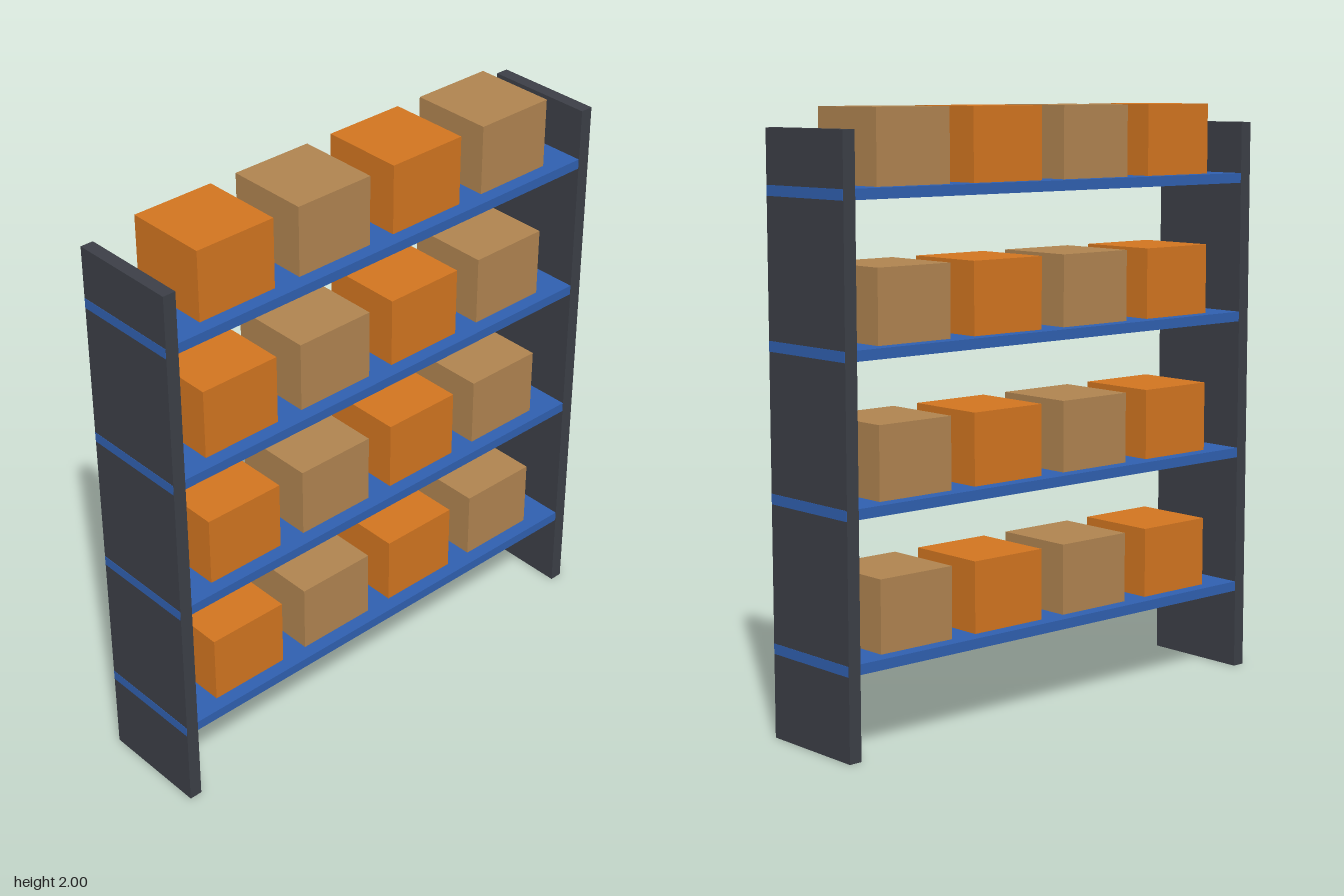
import * as THREE from 'three';

const paint = (color) => new THREE.MeshStandardMaterial({ color });

function addBox(parent, name, size, position, material) {
  const mesh = new THREE.Mesh(new THREE.BoxGeometry(...size), material);
  mesh.name = name;
  mesh.position.set(...position);
  parent.add(mesh);
}

export function createModel() {
  const rack = new THREE.Group();
  rack.name = 'storageRack';

  const steel = paint(0x3c3f47);
  const blue = paint(0x3060b0);
  const orange = paint(0xd27520);
  const tan = paint(0xb08450);

  const width = 1.784, height = 1.94, depth = 0.388;
  const panel = 0.045;
  const shelfThickness = 0.034, levelStep = 0.4847, firstLevel = 0.293;
  const crate = [0.29, 0.24, 0.29], crateStep = 0.388;

  // End panels
  for (const [side, name] of [[1, 'leftEndPanel'], [-1, 'rightEndPanel']]) {
    addBox(rack, name, [panel, height, depth],
      [side * (width - panel) / 2, height / 2, 0], steel);
  }

  // Shelves pass through the end panels, a hair proud of their outer faces
  for (let level = 0; level < 4; level++) {
    const y = firstLevel + level * levelStep;
    const bay = new THREE.Group();
    bay.name = `level${level + 1}`;
    bay.position.y = y;
    rack.add(bay);
    addBox(bay, 'shelf', [width + 0.002, shelfThickness, depth - 0.002], [0, 0, 0], blue);

    // Crates alternate in colour along the shelf
    for (let i = 0; i < 4; i++) {
      addBox(bay, `crate${i + 1}`, crate,
        [(i - 1.5) * crateStep, (shelfThickness + crate[1]) / 2, 0],
        i % 2 ? tan : orange);
    }
  }

  return rack;
}
